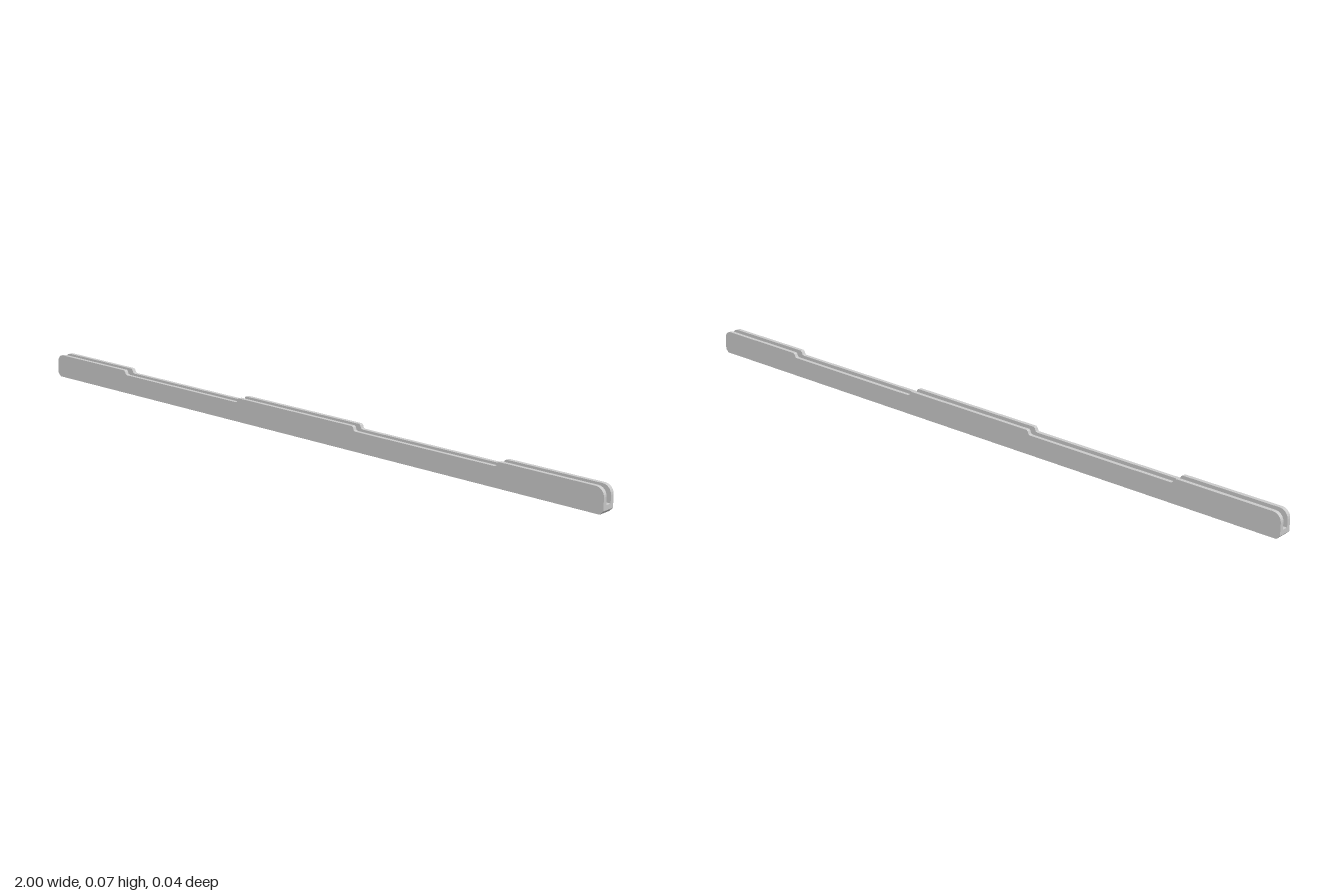
import * as THREE from 'three';

const TOP = 0.068, LOW = 0.055, FLOOR = 0.023, HALF = 0.02, SLOT = 0.009, CUT = 0.01;

// Half outline of a side wall, from the bottom end to the middle of the top edge
function wallShape() {
  const half = [[1 - CUT, 0], [1, CUT], [1, TOP - 0.024]];
  for (let i = 1; i <= 6; i++) { // rounded upper end
    const a = (i / 6) * Math.PI / 2;
    half.push([0.976 + 0.024 * Math.cos(a), TOP - 0.024 + 0.024 * Math.sin(a)]);
  }
  // stepped recess in the top edge
  half.push([0.693, TOP], [0.689, TOP - 0.003], [0.685, LOW + 0.002], [0.679, LOW]);
  half.push([0.224, LOW], [0.218, LOW + 0.002], [0.215, TOP - 0.003], [0.211, TOP]);
  const mirrored = half.map(([x, y]) => [-x, y]).reverse();
  return new THREE.Shape([...half, ...mirrored].map(([x, y]) => new THREE.Vector2(x, y)));
}

// Floor strip with the same bevelled lower ends
function floorShape() {
  const pts = [[1 - CUT, 0], [1, CUT], [1, FLOOR], [-1, FLOOR], [-1, CUT], [-1 + CUT, 0]];
  return new THREE.Shape(pts.map(([x, y]) => new THREE.Vector2(x, y)));
}

export function createModel() {
  const group = new THREE.Group();
  group.name = 'channelRail';
  const material = new THREE.MeshStandardMaterial({ color: 0xcccccc, flatShading: true });

  const add = (name, shape, z0, z1) => {
    const geometry = new THREE.ExtrudeGeometry(shape, { depth: z1 - z0, bevelEnabled: false });
    geometry.translate(0, 0, z0);
    const mesh = new THREE.Mesh(geometry, material);
    mesh.name = name;
    group.add(mesh);
  };

  add('frontWall', wallShape(), SLOT, HALF);
  add('backWall', wallShape(), -HALF, -SLOT);
  add('channelFloor', floorShape(), -SLOT, SLOT);
  return group;
}
